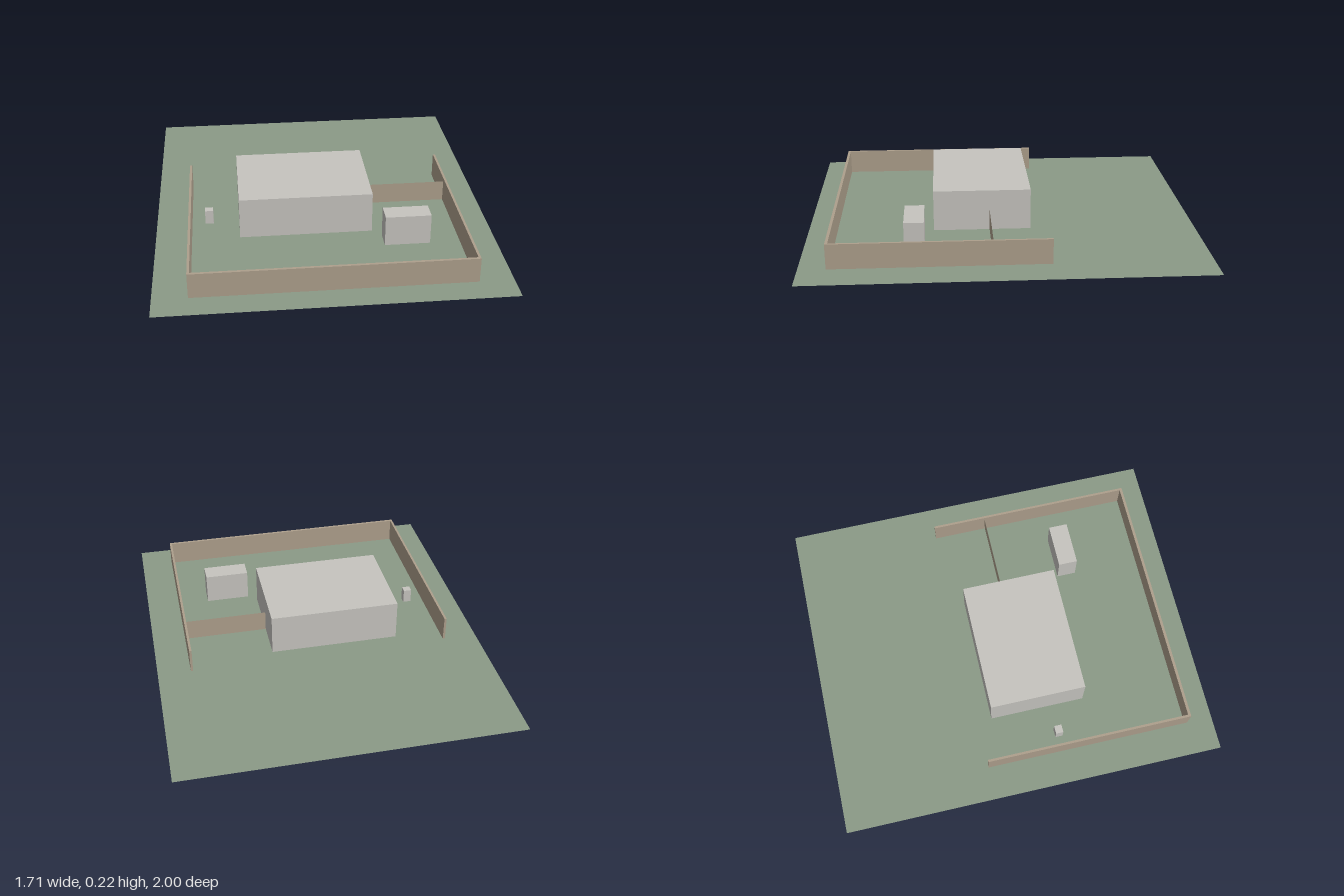
import * as THREE from 'three';

export function createModel() {
  const model = new THREE.Group();
  const lawn = new THREE.MeshStandardMaterial({ color: 0x8b9a87, side: THREE.DoubleSide });
  lawn.name = 'lawnGreen';
  const masonry = new THREE.MeshStandardMaterial({ color: 0xad9f8c, side: THREE.DoubleSide });
  masonry.name = 'wallTan';
  const plaster = new THREE.MeshStandardMaterial({ color: 0xc6c4bf });
  plaster.name = 'buildingGrey';

  // Axis-aligned block from its footprint and height range
  function block(name, material, [x0, x1], [z0, z1], height, base = 0) {
    const mesh = new THREE.Mesh(new THREE.BoxGeometry(x1 - x0, height - base, z1 - z0), material);
    mesh.position.set((x0 + x1) / 2, (height + base) / 2, (z0 + z1) / 2);
    mesh.name = name;
    model.add(mesh);
  }

  // Flat plot, a hair above the building footings so these show from below
  const ground = new THREE.Mesh(new THREE.PlaneGeometry(1.71, 2).rotateX(-Math.PI / 2), lawn);
  ground.position.y = 0.001;
  ground.name = 'ground';
  model.add(ground);

  // Buildings
  block('house', plaster, [-0.43, 0.245], [-0.145, 0.355], 0.215);
  block('garage', plaster, [0.29, 0.52], [0.4, 0.5], 0.16);
  block('shed', plaster, [-0.605, -0.563], [0.163, 0.202], 0.075);

  // Boundary walls, open towards the back
  for (const side of [-1, 1]) {
    const xs = [side * 0.673, side * 0.685].sort((a, b) => a - b);
    block(side > 0 ? 'leftWall' : 'rightWall', masonry, xs, [-0.217, 0.865], 0.13, 0.001);
  }
  block('frontWall', masonry, [-0.673, 0.673], [0.851, 0.865], 0.13, 0.001);

  // Thin dividing fence between house and side wall
  const fence = new THREE.Mesh(new THREE.PlaneGeometry(0.428, 0.11), masonry);
  fence.position.set(0.459, 0.056, 0.067);
  fence.name = 'dividingFence';
  model.add(fence);

  return model;
}
